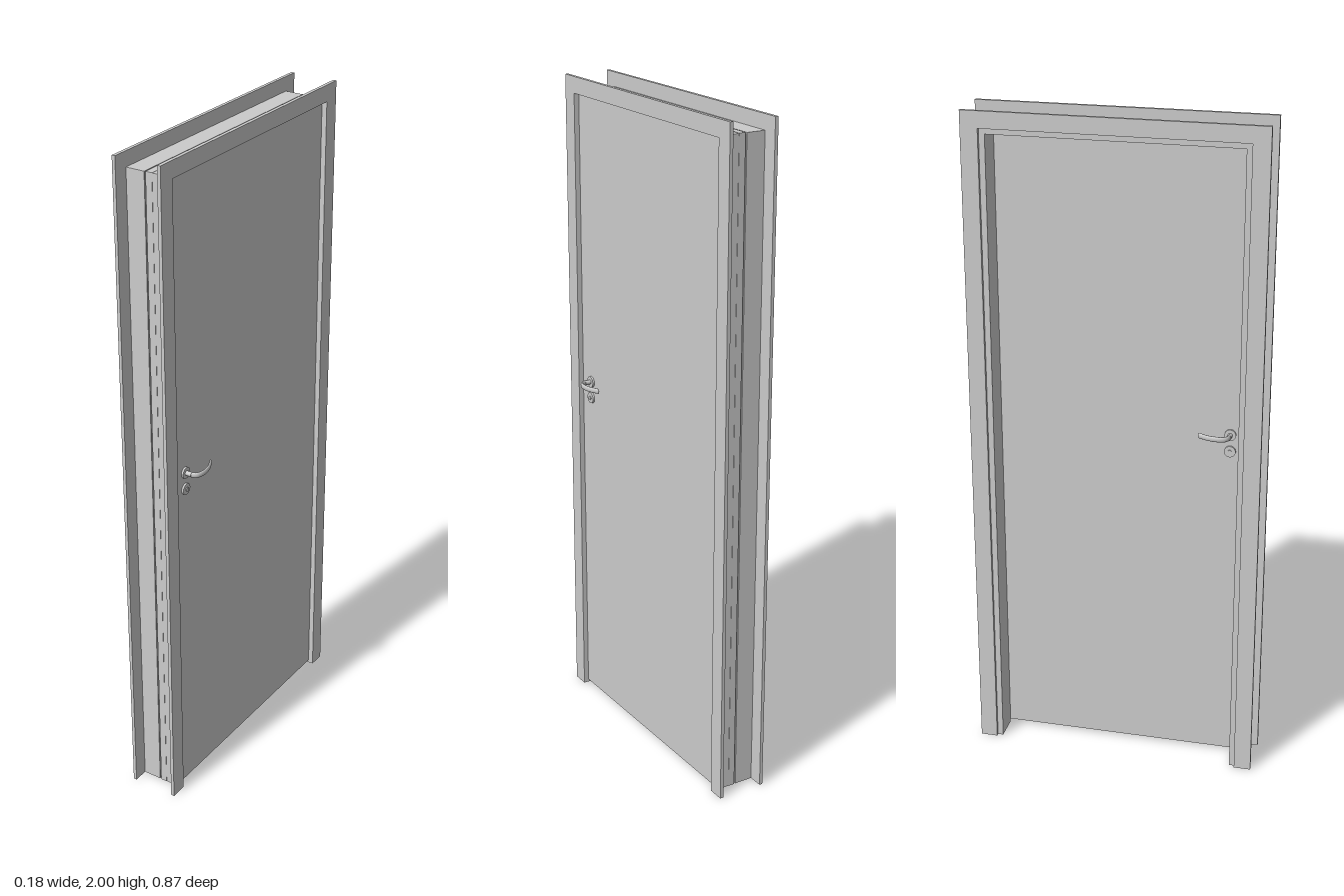
import * as THREE from 'three';

const grey = new THREE.MeshStandardMaterial({ color: 0xcccccc });

function add(parent, name, geometry, x = 0, y = 0, z = 0) {
  const mesh = new THREE.Mesh(geometry, grey);
  mesh.name = name;
  mesh.position.set(x, y, z);
  parent.add(mesh);
  return mesh;
}

// Three-sided frame (two posts and a head) filling x0..x1
function surround(parent, name, x0, x1, outerZ, outerY, innerZ, innerY) {
  const shape = new THREE.Shape([
    [-outerZ, 0], [-innerZ, 0], [-innerZ, innerY], [innerZ, innerY],
    [innerZ, 0], [outerZ, 0], [outerZ, outerY], [-outerZ, outerY],
  ].map(([a, b]) => new THREE.Vector2(a, b)));
  const geo = new THREE.ExtrudeGeometry(shape, { depth: x1 - x0, bevelEnabled: false });
  geo.rotateY(Math.PI / 2);
  add(parent, name, geo, x0);
}

// Lever, rosette and key escutcheon on one door face; dir is the way it points
function handleSet(name, faceX, dir) {
  const set = new THREE.Group();
  set.name = name;
  set.position.set(faceX, 1.073, 0);

  const disc = (r, h) => new THREE.CylinderGeometry(r, r, h, 28).rotateZ(Math.PI / 2);
  add(set, 'rosette', disc(0.017, 0.006), dir * 0.003, 0, 0.328);
  add(set, 'neck', disc(0.007, 0.024), dir * 0.012, 0, 0.328);
  add(set, 'keyEscutcheon', disc(0.017, 0.006), dir * 0.003, -0.052, 0.328);
  add(set, 'keyCylinder', disc(0.006, 0.004), dir * 0.007, -0.052, 0.328);

  // Curved lever with an oval section
  const path = new THREE.CatmullRomCurve3([
    [0.014, 0.328], [0.026, 0.328], [0.038, 0.321], [0.0445, 0.302], [0.041, 0.271], [0.028, 0.241],
  ].map(([x, z]) => new THREE.Vector3(dir * x, 0, z)));
  const lever = new THREE.TubeGeometry(path, 32, 0.004, 12).scale(1, 2.1, 1);
  add(set, 'lever', lever);
  add(set, 'leverTip', new THREE.SphereGeometry(0.004, 12, 8).scale(1, 2.1, 1), dir * 0.028, 0, 0.241);
  return set;
}

export function createModel() {
  const door = new THREE.Group();
  door.name = 'doorWithFrame';

  // Flat casings on both sides of the wall
  surround(door, 'backCasing', -0.092, -0.082, 0.433, 2, 0.382, 1.951);
  surround(door, 'frontCasing', 0.048, 0.0585, 0.433, 2, 0.382, 1.951);

  // Jamb lining with a shallow outer groove and a rebate for the leaf
  surround(door, 'jambBack', -0.082, -0.025, 0.388, 1.957, 0.365, 1.934);
  surround(door, 'jambGroove', -0.025, -0.02, 0.384, 1.953, 0.365, 1.934);
  surround(door, 'jambStop', -0.02, 0, 0.389, 1.958, 0.365, 1.934);
  surround(door, 'jambRebate', 0, 0.048, 0.388, 1.957, 0.382, 1.951);

  // Door leaf
  const front = 0.044, bottom = 0.01, top = 1.949;
  add(door, 'doorLeaf', new THREE.BoxGeometry(front, top - bottom, 0.76), front / 2, (top + bottom) / 2, 0);

  // Handles on both faces
  door.add(handleSet('frontHandle', front, 1), handleSet('backHandle', 0, -1));
  return door;
}
